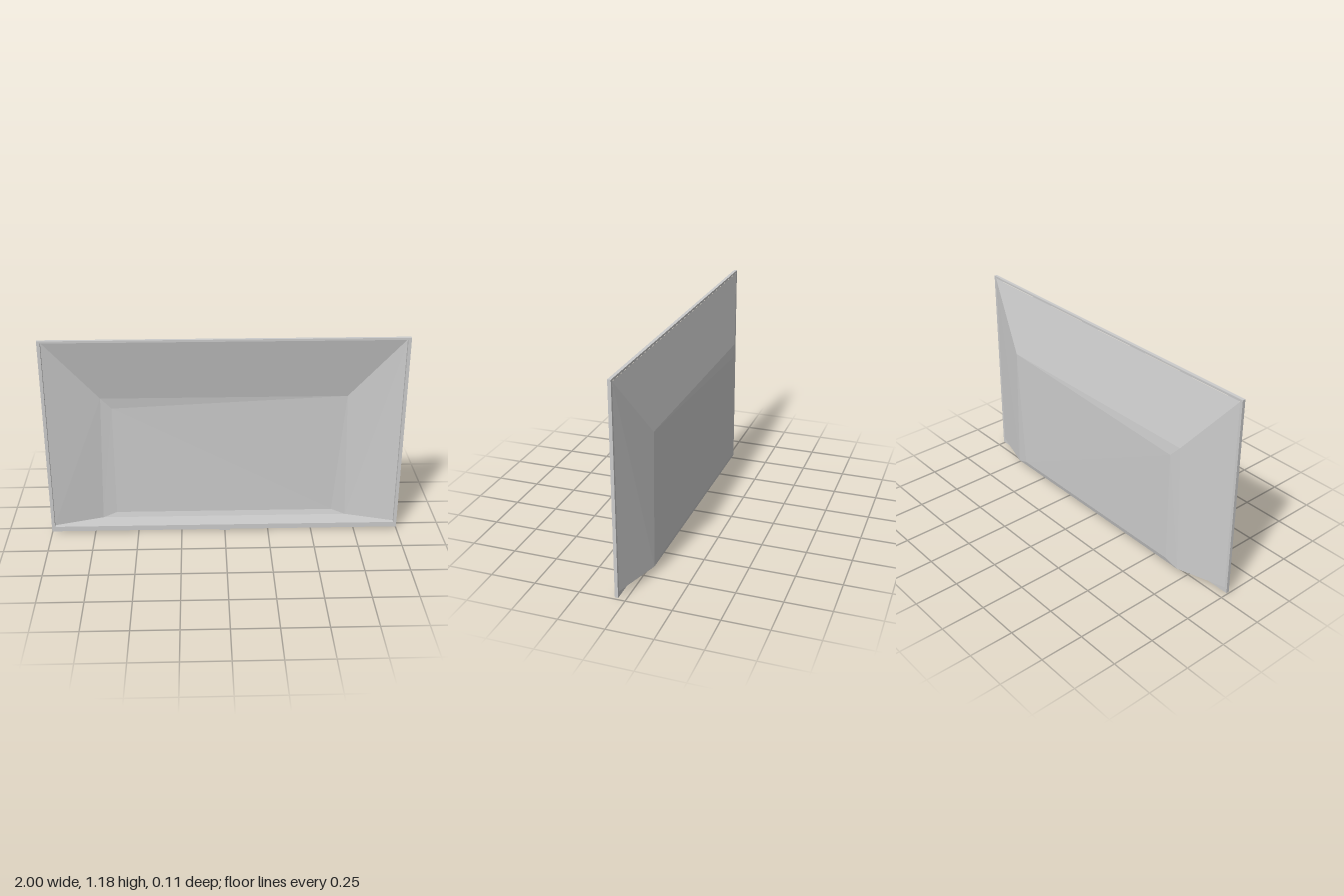
import * as THREE from 'three';

const casing = new THREE.MeshStandardMaterial({ color: 0xcccccc, side: THREE.DoubleSide, flatShading: true });
casing.name = 'casing grey';

function addMesh(group, name, geometry) {
  const mesh = new THREE.Mesh(geometry, casing);
  mesh.name = name;
  group.add(mesh);
  return mesh;
}

function rectangle(path, x, y0, y1) {
  path.moveTo(-x, y0);
  path.lineTo(x, y0);
  path.lineTo(x, y1);
  path.lineTo(-x, y1);
  path.closePath();
  return path;
}

// Faceted back shell: rim, shoulder and back panel loops, each clockwise from the top left
function shellGeometry() {
  const rim = [[-0.985, 1.165, 0.037], [0.985, 1.165, 0.037], [0.985, 0.04, 0.037], [-0.985, 0.04, 0.037]];
  const shoulder = [[-0.69, 0.8, -0.047], [0.69, 0.8, -0.047], [0.71, 0.04, -0.047], [-0.71, 0.04, -0.047]];
  // The panel's top right corner meets the shoulder
  const panel = [[-0.63, 0.735, -0.055], shoulder[1], [0.63, 0.07, -0.055], [-0.63, 0.07, -0.055]];
  const points = [];
  const triangle = (a, b, c) => {
    if (a !== b && b !== c && a !== c) points.push(...a, ...b, ...c);
  };
  const bridge = (outer, inner) => {
    for (let i = 0; i < 4; i++) {
      const j = (i + 1) % 4;
      triangle(outer[i], outer[j], inner[j]);
      triangle(outer[i], inner[j], inner[i]);
    }
  };
  bridge(rim, shoulder);
  bridge(shoulder, panel);
  triangle(panel[0], panel[1], panel[2]);
  triangle(panel[0], panel[2], panel[3]);

  const geometry = new THREE.BufferGeometry();
  geometry.setAttribute('position', new THREE.Float32BufferAttribute(points, 3));
  geometry.computeVertexNormals();
  return geometry;
}

export function createModel() {
  const model = new THREE.Group();
  model.name = 'television housing';

  // Thin front bezel with an open middle
  const outline = rectangle(new THREE.Shape(), 1, 0.01, 1.178);
  outline.holes.push(rectangle(new THREE.Path(), 0.982, 0.04, 1.166));
  const bezel = new THREE.ExtrudeGeometry(outline, { depth: 0.018, bevelEnabled: false });
  addMesh(model, 'bezel', bezel.translate(0, 0, 0.037));

  addMesh(model, 'backShell', shellGeometry());

  // Small tab under the bezel
  const tab = addMesh(model, 'bottomTab', new THREE.BoxGeometry(0.06, 0.012, 0.012));
  tab.position.set(0, 0.006, 0.047);

  return model;
}
